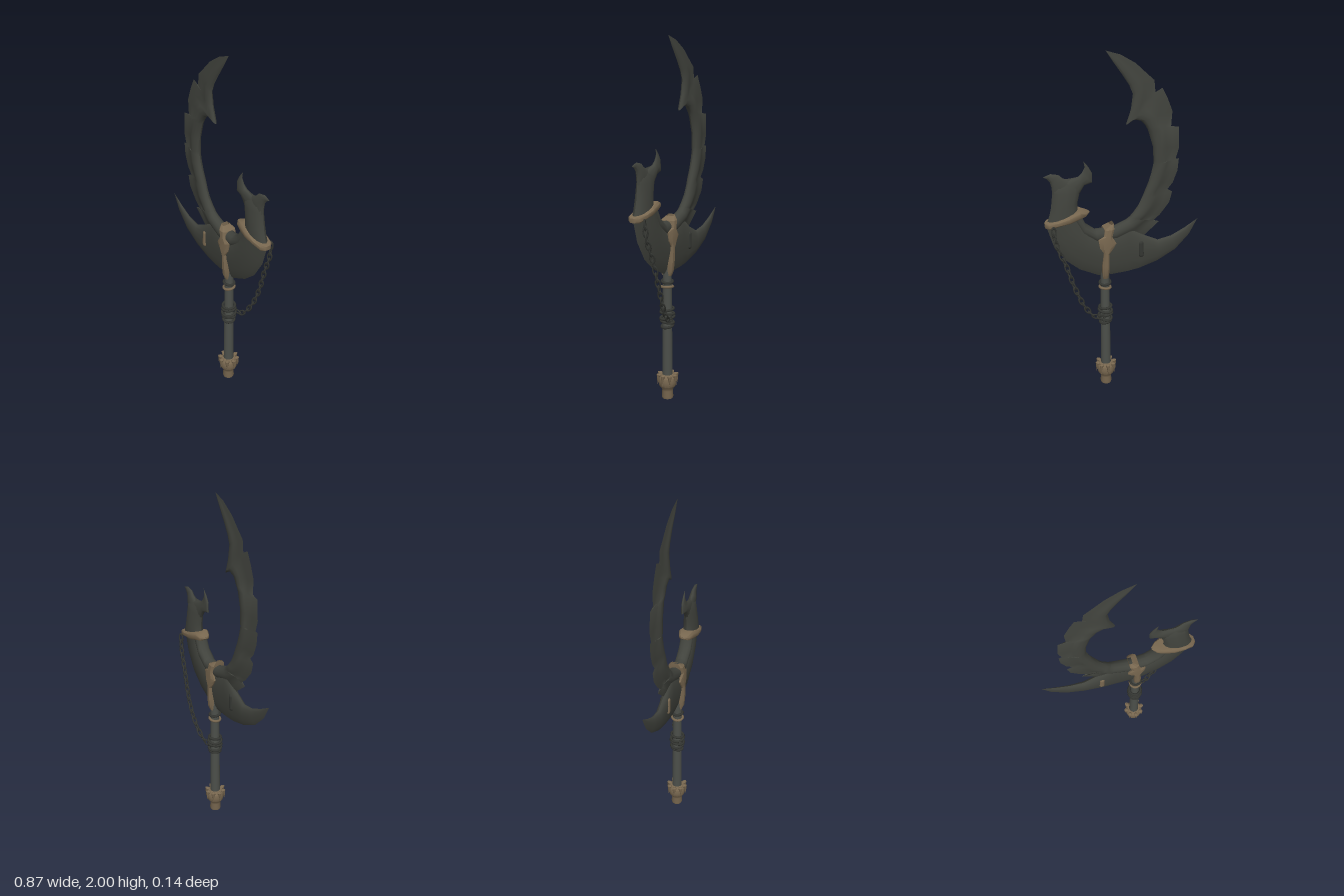
import * as THREE from 'three';
import { toCreasedNormals } from 'three/addons/utils/BufferGeometryUtils.js';

const material = (name, color) => Object.assign(new THREE.MeshStandardMaterial({ color, side: THREE.DoubleSide }), { name });

// Cross profiles: [position from edge A to edge B, share of half thickness]
const RIMMED = [[0, 0], [0.25, 0.3], [0.48, 0.5], [0.58, 0.85], [0.72, 1], [0.87, 0.9], [0.96, 0.55], [1, 0]];
const LENS = [[0, 0], [0.1, 0.35], [0.25, 0.62], [0.45, 0.9], [0.65, 1], [0.85, 0.85], [0.95, 0.5], [1, 0]];
const ROUND = [[0, 0], [0.06, 0.45], [0.2, 0.8], [0.5, 1], [0.8, 0.8], [0.94, 0.45], [1, 0]];
const BAND = [[0, 0.8], [0.25, 1], [0.75, 1], [1, 0.8]];

// Solid skinned over stations [ax, ay, bx, by, half thickness]
function loft(stations, profile, crease = 0.8) {
  const ring = [...profile.map(([u, h]) => [u, h]), ...profile.slice().reverse().filter(p => p[1] > 0).map(([u, h]) => [u, -h])];
  const n = ring.length, pos = [], index = [];
  let area = 0;
  stations.forEach(([ax, ay, bx, by, t], i) => {
    for (const [u, h] of ring) pos.push(ax + (bx - ax) * u, ay + (by - ay) * u, h * t);
    if (!i) return;
    const p = stations[i - 1];
    area += (ax - p[0]) * (p[3] - p[1]) - (ay - p[1]) * (p[2] - p[0]);
    area += (bx - p[2]) * (by - ay) - (by - p[3]) * (bx - ax);
  });
  for (let i = 0; i < stations.length - 1; i++) {
    for (let j = 0; j < n; j++) {
      const a = i * n + j, b = i * n + (j + 1) % n, c = a + n, d = b + n;
      if (area > 0) index.push(a, c, b, b, c, d);
      else index.push(a, b, c, b, d, c);
    }
  }
  const g = new THREE.BufferGeometry();
  g.setAttribute('position', new THREE.Float32BufferAttribute(pos, 3));
  g.setIndex(index);
  return toCreasedNormals(g, crease);
}

export function createModel() {
  const root = new THREE.Group();
  const iron = material('dark iron', 0x41433d);
  const shaft = material('shaft grey', 0x4c4f4a);
  const bone = material('weathered tan', 0x796850);
  const chainIron = material('chain black', 0x343632);
  const model = new THREE.Group();
  model.name = 'weapon';
  model.position.z = 0.006;
  root.add(model);
  const add = (name, geometry, mat, parent = model) => {
    const m = new THREE.Mesh(geometry, mat);
    m.name = name;
    parent.add(m);
    return m;
  };

  // Tall hooked blade: serrated outer edge, heavy inner rim running down to the right horn
  add('hookBlade', loft([
    [0.087, 1.995, 0.087, 1.995, 0],
    [0.01, 1.97, 0.045, 1.93, 0.005],
    [-0.07, 1.92, 0, 1.865, 0.008],
    [-0.135, 1.857, -0.035, 1.81, 0.011],
    [-0.17, 1.825, -0.055, 1.762, 0.014],
    [-0.177, 1.76, -0.045, 1.68, 0.017],
    [-0.215, 1.78, -0.018, 1.598, 0.018],
    [-0.245, 1.72, -0.055, 1.624, 0.02],
    [-0.272, 1.65, -0.098, 1.614, 0.021],
    [-0.267, 1.566, -0.125, 1.585, 0.022],
    [-0.31, 1.56, -0.14, 1.555, 0.022],
    [-0.316, 1.444, -0.167, 1.465, 0.023],
    [-0.292, 1.36, -0.172, 1.385, 0.023],
    [-0.316, 1.38, -0.172, 1.365, 0.023],
    [-0.31, 1.31, -0.16, 1.31, 0.024],
    [-0.285, 1.243, -0.145, 1.26, 0.024],
    [-0.255, 1.206, -0.125, 1.21, 0.024],
    [-0.283, 1.19, -0.11, 1.175, 0.024],
    [-0.267, 1.127, -0.087, 1.127, 0.025],
    [-0.215, 1.06, -0.06, 1.09, 0.026],
    [-0.17, 1.02, -0.045, 1.073, 0.027],
    [-0.21, 1.018, -0.04, 1.068, 0.027],
    [-0.12, 0.94, -0.02, 1.053, 0.03],
    [0.01, 0.89, 0.06, 1.02, 0.034],
    [0.14, 0.88, 0.156, 1.02, 0.036],
    [0.25, 0.95, 0.21, 1.063, 0.037],
    [0.33, 1.08, 0.233, 1.115, 0.036],
  ], RIMMED), iron);

  // Crescent axe body with its left point
  add('crescentBody', loft([
    [-0.437, 1.005, -0.437, 1.005, 0],
    [-0.39, 0.915, -0.36, 0.958, 0.007],
    [-0.31, 0.83, -0.283, 0.92, 0.013],
    [-0.204, 0.772, -0.204, 0.905, 0.018],
    [-0.098, 0.74, -0.125, 0.945, 0.023],
    [-0.03, 0.73, -0.03, 1.03, 0.027],
    [0.06, 0.725, 0.06, 1.005, 0.031],
    [0.14, 0.73, 0.14, 1.0, 0.033],
    [0.246, 0.783, 0.18, 1.03, 0.036],
    [0.325, 0.852, 0.212, 1.063, 0.038],
    [0.39, 0.958, 0.225, 1.09, 0.038],
    [0.426, 1.08, 0.24, 1.13, 0.036],
  ], LENS), iron);

  // Forked horn on the right
  const horn = new THREE.Group();
  horn.name = 'forkedHorn';
  model.add(horn);
  add('hornStem', loft([
    [0.238, 1.09, 0.424, 1.07, 0.04],
    [0.25, 1.15, 0.402, 1.14, 0.037],
    [0.25, 1.19, 0.393, 1.18, 0.035],
    [0.235, 1.25, 0.384, 1.26, 0.027],
    [0.225, 1.29, 0.386, 1.29, 0.02],
    [0.24, 1.337, 0.335, 1.33, 0],
  ], ROUND), iron, horn);
  add('hornLeftProng', loft([
    [0.25, 1.22, 0.31, 1.323, 0.018],
    [0.21, 1.285, 0.24, 1.339, 0.018],
    [0.167, 1.296, 0.222, 1.358, 0.012],
    [0.167, 1.35, 0.208, 1.385, 0.008],
    [0.187, 1.388, 0.208, 1.4, 0.005],
    [0.214, 1.423, 0.214, 1.423, 0],
  ], ROUND), iron, horn);
  add('hornRightProng', loft([
    [0.384, 1.24, 0.29, 1.324, 0.018],
    [0.386, 1.29, 0.325, 1.338, 0.017],
    [0.394, 1.323, 0.347, 1.36, 0.011],
    [0.408, 1.342, 0.39, 1.37, 0.007],
    [0.43, 1.355, 0.43, 1.355, 0],
  ], ROUND), iron, horn);

  // Tan collar below the horn
  add('hornCollar', loft([
    [0.185, 1.13, 0.19, 1.136, 0.008],
    [0.21, 1.112, 0.21, 1.14, 0.03],
    [0.245, 1.105, 0.246, 1.152, 0.044],
    [0.3, 1.088, 0.305, 1.13, 0.05],
    [0.36, 1.078, 0.365, 1.11, 0.047],
    [0.41, 1.064, 0.415, 1.098, 0.037],
    [0.43, 1.066, 0.43, 1.09, 0.018],
    [0.431, 1.07, 0.431, 1.086, 0],
  ], BAND), bone);

  // Tan strap wrapped over the rim and down to the shaft
  add('centreStrap', loft([
    [0.055, 1.048, 0.075, 1.04, 0.022],
    [0.056, 1.02, 0.108, 1.02, 0.042],
    [0.068, 0.975, 0.115, 0.985, 0.045],
    [0.045, 0.935, 0.146, 0.965, 0.046],
    [0.062, 0.905, 0.138, 0.915, 0.046],
    [0.086, 0.87, 0.116, 0.88, 0.044],
    [0.084, 0.8, 0.124, 0.8, 0.043],
    [0.086, 0.75, 0.122, 0.74, 0.038],
    [0.09, 0.715, 0.118, 0.715, 0.027],
  ], BAND, 0.4), bone);

  // Stud through the left of the body: tan in front, dark behind
  for (const [name, mat, z] of [['frontStud', bone, 0.019], ['backStud', chainIron, -0.019]]) {
    const stud = add(name, new THREE.CapsuleGeometry(0.015, 0.07, 4, 10), mat);
    stud.scale.z = 0.7;
    stud.position.set(-0.102, 0.87, z);
    stud.rotation.z = -0.05;
  }

  // Handle
  const handle = new THREE.Group();
  handle.name = 'handle';
  handle.position.x = 0.103;
  model.add(handle);
  add('shaft', new THREE.CylinderGeometry(0.024, 0.029, 0.67, 14), shaft, handle).position.y = 0.455;

  // Wrapped coils: [height, tilt x, tilt z, radius, material]
  for (const [y, rx, rz, r, mat] of [
    [0.425, 0.1, -0.15, 0.032, chainIron], [0.45, -0.12, 0.12, 0.036, chainIron],
    [0.475, 0.15, -0.1, 0.039, chainIron], [0.5, -0.05, 0.15, 0.038, chainIron],
    [0.522, 0.1, -0.08, 0.035, chainIron], [0.65, 0.1, 0.12, 0.031, bone], [0.68, -0.1, -0.08, 0.03, chainIron],
  ]) {
    const coil = add('coil', new THREE.TorusGeometry(r, 0.0075, 6, 18), mat, handle);
    coil.position.y = y;
    coil.rotation.set(Math.PI / 2 + rx, rz, 0);
  }

  // Pommel with a crown of claws
  const profile = [[0, 0], [0.03, 0], [0.033, 0.012], [0.03, 0.045], [0.034, 0.06], [0.047, 0.075],
    [0.052, 0.1], [0.05, 0.125], [0.04, 0.14], [0.025, 0.142]].map(p => new THREE.Vector2(...p));
  add('pommel', toCreasedNormals(new THREE.LatheGeometry(profile, 16), 0.6), bone, handle);
  for (let i = 0; i < 8; i++) {
    const pivot = new THREE.Group();
    pivot.name = 'pommelClaw';
    pivot.rotation.y = i * Math.PI / 4;
    handle.add(pivot);
    const claw = add('claw', new THREE.ConeGeometry(0.012, 0.06, 6), bone, pivot);
    claw.position.set(0.054, 0.112, 0);
    claw.rotation.z = Math.PI + 0.1;
    const knuckle = add('knuckle', new THREE.SphereGeometry(0.013, 8, 6), bone, pivot);
    knuckle.position.set(0.047, 0.137, 0);
    knuckle.scale.y = 0.7;
  }

  // Hanging chain behind the body, from collar to coils
  const path = new THREE.CatmullRomCurve3([
    [0.395, 1.075, -0.05], [0.383, 0.98, -0.053], [0.338, 0.86, -0.06], [0.285, 0.69, -0.064],
    [0.225, 0.555, -0.055], [0.165, 0.485, -0.042], [0.115, 0.475, -0.036],
  ].map(p => new THREE.Vector3(...p)));
  const chain = new THREE.Group();
  chain.name = 'chain';
  model.add(chain);
  const linkShape = new THREE.TorusGeometry(0.0125, 0.0042, 6, 14);
  linkShape.scale(2.0, 1, 1);
  const links = 18;
  for (let i = 0; i < links; i++) {
    const t = (i + 0.5) / links;
    const link = add('chainLink', linkShape, chainIron, chain);
    link.position.copy(path.getPointAt(t));
    link.quaternion.setFromUnitVectors(new THREE.Vector3(1, 0, 0), path.getTangentAt(t));
    link.rotateX(i % 2 ? 1.15 : -0.3);
  }
  return root;
}
